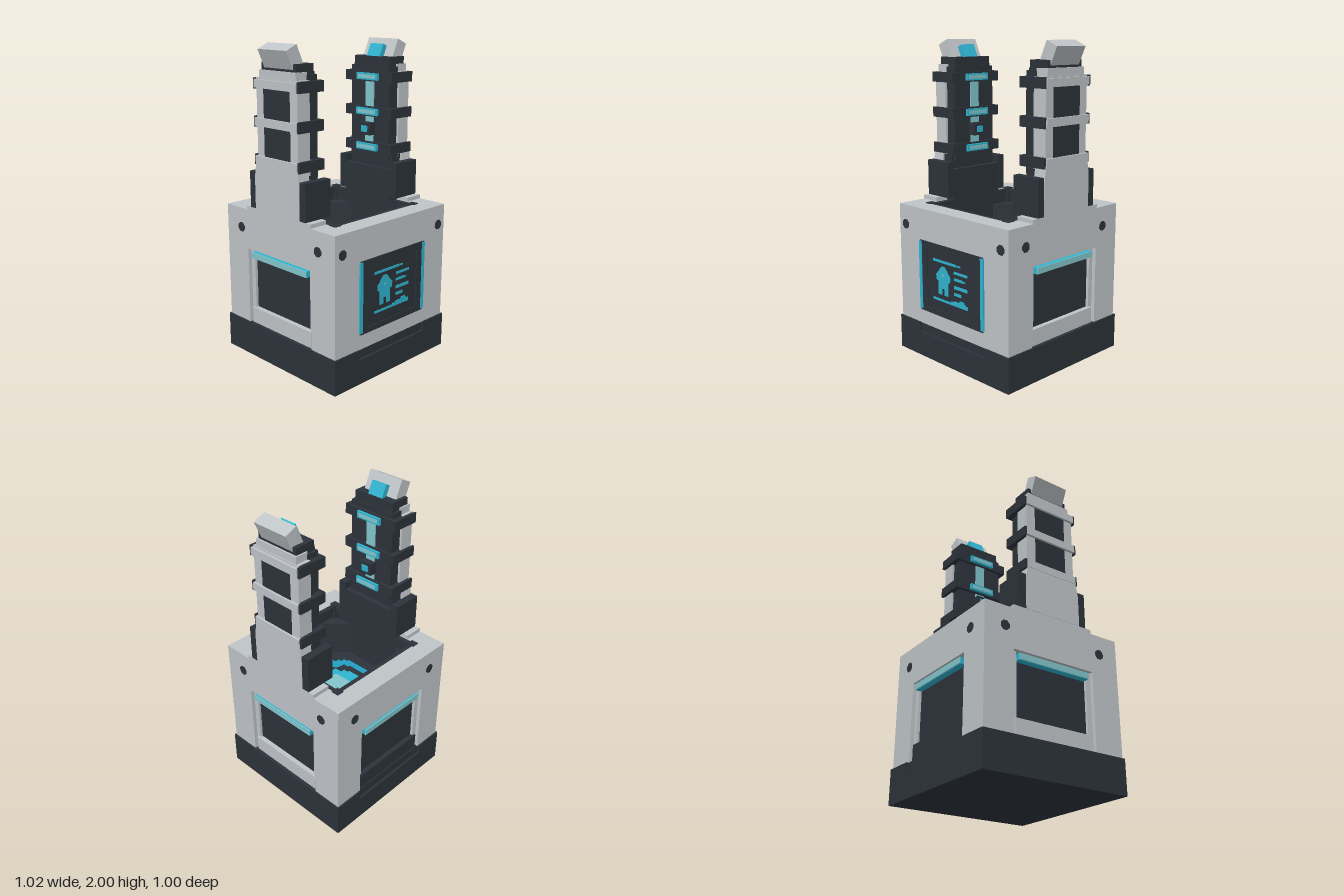
import * as THREE from 'three';

const mat = (name, color) => Object.assign(new THREE.MeshStandardMaterial({ color }), { name });
const light = mat('light grey shell', 0xbfc4c8);
const dark = mat('charcoal metal', 0x2c333a);
const cyan = mat('cyan glow', 0x2fb4d0);
const blue = mat('deep blue glow', 0x219fc4);
const pale = mat('pale glow', 0x82c6cc);

function add(parent, name, geometry, material) {
  const mesh = new THREE.Mesh(geometry, material);
  mesh.name = name;
  parent.add(mesh);
  return mesh;
}
// Box given by its min and max on each axis
function box(parent, name, material, x0, x1, y0, y1, z0, z1) {
  const mesh = add(parent, name, new THREE.BoxGeometry(x1 - x0, y1 - y0, z1 - z0), material);
  mesh.position.set((x0 + x1) / 2, (y0 + y1) / 2, (z0 + z1) / 2);
  return mesh;
}
const shapeOf = (pts) => new THREE.Shape(pts.map(([x, y]) => new THREE.Vector2(x, y)));
const square = (h) => [[-h, -h], [h, -h], [h, h], [-h, h]];
// Repeat a first-quadrant run of points (from the +y axis to the +x axis) all round
function fourFold(run) {
  const pts = [];
  for (let i = 0; i < 4; i++) {
    const c = [1, 0, -1, 0][i], s = [0, -1, 0, 1][i];
    run.forEach(([x, y]) => pts.push([x * c - y * s, x * s + y * c]));
  }
  return pts;
}
// Horizontal slab from y0 to y1 with an optional hole
function slab(parent, name, material, outer, hole, y0, y1) {
  const shape = shapeOf(outer);
  if (hole) shape.holes.push(shapeOf(hole));
  const g = new THREE.ExtrudeGeometry(shape, { depth: y1 - y0, bevelEnabled: false });
  g.rotateX(-Math.PI / 2);
  return add(parent, name, g.translate(0, y0, 0), material);
}
function wall(parent, name, material, pts, hole, z0, z1) {
  const shape = shapeOf(pts);
  if (hole) shape.holes.push(shapeOf(hole));
  const g = new THREE.ExtrudeGeometry(shape, { depth: z1 - z0, bevelEnabled: false });
  return add(parent, name, g.translate(0, 0, z0), material);
}
const rect = (x0, x1, y0, y1) => [[x0, y0], [x1, y0], [x1, y1], [x0, y1]];

function addBolts(parent, x) {
  for (const s of [-1, 1]) {
    const g = new THREE.CylinderGeometry(0.032, 0.032, 0.008, 8);
    g.rotateY(Math.PI / 8).rotateX(Math.PI / 2);
    add(parent, 'bolt', g, dark).position.set(s * x, 0.85, 0.489);
  }
}

// One recessed side of the body, built facing +z
function recessedSide(name, half, sillMaterial) {
  const g = new THREE.Group();
  g.name = name;
  wall(g, 'wall', light, [[-half, 0.22], [-0.29, 0.22], [-0.29, 0.72], [0.29, 0.72],
    [0.29, 0.22], [half, 0.22], [half, 0.975], [-half, 0.975]], null, 0.43, 0.49);
  box(g, 'recessPanel', dark, -0.256, 0.256, 0.22, 0.7, 0.43, 0.447);
  for (const s of [-1, 1]) box(g, 'jamb', light, s * 0.273 - 0.017, s * 0.273 + 0.017, 0.22, 0.72, 0.43, 0.465);
  box(g, 'sill', sillMaterial, -0.275, 0.275, 0.2, 0.325, 0.44, 0.478);
  box(g, 'lightStrip', cyan, -0.252, 0.252, 0.665, 0.705, 0.44, 0.488);
  box(g, 'lightStripFace', pale, -0.252, 0.252, 0.667, 0.705, 0.488, 0.494);
  addBolts(g, 0.35);
  return g;
}

function screenSide() {
  const g = new THREE.Group();
  g.name = 'screenSide';
  box(g, 'wall', light, -0.49, 0.49, 0.22, 0.975, 0.43, 0.49);
  addBolts(g, 0.43);
  wall(g, 'screenFrame', dark, rect(-0.285, 0.285, 0.315, 0.775), rect(-0.22, 0.22, 0.35, 0.73), 0.488, 0.497);
  box(g, 'screen', dark, -0.225, 0.225, 0.345, 0.735, 0.485, 0.491);
  for (const s of [-1, 1]) box(g, 'screenSideLight', cyan, s * 0.28 - 0.013, s * 0.28 + 0.013, 0.325, 0.77, 0.49, 0.4995);
  // Readout bars and figure icon
  const bars = [[-0.165, 0.055, 0.664, 0.68], [0.06, 0.09, 0.667, 0.677], [0.03, 0.15, 0.618, 0.634],
    [0.03, 0.11, 0.577, 0.593], [0.11, 0.13, 0.58, 0.588], [0.03, 0.15, 0.525, 0.545], [0.03, 0.095, 0.482, 0.5],
    [-0.165, 0.15, 0.415, 0.43], [0.0, 0.15, 0.43, 0.438], [0.03, 0.13, 0.438, 0.446], [0.08, 0.12, 0.446, 0.458]];
  for (const b of bars) box(g, 'readoutBar', cyan, ...b, 0.49, 0.494);
  const half = [[0.012, 0.46], [0.045, 0.46], [0.045, 0.545], [0.062, 0.55], [0.066, 0.585], [0.045, 0.605], [0.03, 0.625], [0.012, 0.642]];
  const figure = [[0, 0.5], [0.012, 0.5], ...half];
  const outline = [...figure, ...figure.slice(1).reverse().map(([x, y]) => [-x, y])];
  wall(g, 'figureIcon', cyan, outline.map(([x, y]) => [x - 0.07, y]), null, 0.49, 0.494);
  box(g, 'figureCore', pale, -0.077, -0.063, 0.578, 0.592, 0.493, 0.495);
  return g;
}

// One tower, built on the +x side
function tower(name) {
  const g = new THREE.Group();
  g.name = name;
  box(g, 'sideRail', light, 0.365, 0.49, 0.97, 1.0, -0.29, 0.29);
  // Foot
  box(g, 'footInner', dark, 0.295, 0.42, 0.975, 1.18, -0.2, 0.2);
  for (const s of [-1, 1]) box(g, 'footCheek', dark, 0.292, 0.49, 1.0, 1.23, s * 0.225 - 0.025, s * 0.225 + 0.025);
  const foot = shapeOf([[-0.2, 1.0], [0.2, 1.0], [0.2, 1.2], [0.185, 1.29], [-0.185, 1.29], [-0.2, 1.2]]);
  const footGeo = new THREE.ExtrudeGeometry(foot, { depth: 0.085, bevelEnabled: false });
  add(g, 'footShell', footGeo.rotateY(Math.PI / 2).translate(0.407, 0, 0), light);
  // Column
  box(g, 'columnShell', light, 0.385, 0.478, 1.25, 1.8, -0.18, 0.18);
  box(g, 'columnShoulder', light, 0.385, 0.472, 1.8, 1.845, -0.16, 0.16);
  box(g, 'columnInner', dark, 0.312, 0.39, 1.23, 1.83, -0.165, 0.165);
  box(g, 'columnPlinth', dark, 0.33, 0.42, 1.17, 1.27, -0.18, 0.18);
  for (const y of [1.425, 1.65]) box(g, 'outerInset', dark, 0.47, 0.481, y - 0.09, y + 0.09, -0.115, 0.115);
  box(g, 'innerLight', pale, 0.305, 0.314, 1.34, 1.75, -0.035, 0.035);
  // Clamping bands with lamps on the inside
  for (const y of [1.31, 1.54, 1.765]) {
    box(g, 'band', dark, 0.292, 0.47, y - 0.032, y + 0.032, -0.2, 0.2);
    box(g, 'bandPlate', light, 0.468, 0.495, y - 0.025, y + 0.025, -0.185, 0.185);
    for (const s of [-1, 1]) box(g, 'bandEnd', dark, 0.46, 0.488, y - 0.032, y + 0.032, s * 0.193 - 0.007, s * 0.193 + 0.007);
    box(g, 'bandLamp', cyan, 0.275, 0.294, y - 0.022, y + 0.022, -0.09, 0.09);
    box(g, 'bandLampFace', pale, 0.272, 0.276, y - 0.012, y + 0.012, -0.075, 0.075);
  }
  // Sensor
  box(g, 'sensor', dark, 0.26, 0.315, 1.39, 1.47, -0.047, 0.047);
  box(g, 'sensorLens', cyan, 0.254, 0.261, 1.41, 1.45, -0.025, 0.025);
  // Tilted head
  box(g, 'neck', dark, 0.325, 0.46, 1.843, 1.89, -0.15, 0.15);
  box(g, 'neckBase', dark, 0.32, 0.4, 1.8, 1.845, -0.15, 0.15);
  const head = add(g, 'head', new THREE.BoxGeometry(0.085, 0.122, 0.25), light);
  head.position.set(0.444, 1.927, 0);
  const lamp = add(g, 'headLamp', new THREE.BoxGeometry(0.036, 0.085, 0.11), cyan);
  lamp.position.set(0.368, 1.922, 0);
  head.rotation.z = lamp.rotation.z = -0.42;
  return g;
}

export function createModel() {
  const model = new THREE.Group();
  model.name = 'machine';

  // Base with shallow notches in its front and back upper edges
  box(model, 'baseLower', dark, -0.5, 0.5, 0, 0.16, -0.5, 0.5);
  slab(model, 'baseUpper', dark, [[-0.5, -0.5], [-0.3, -0.5], [-0.3, -0.485], [0.3, -0.485], [0.3, -0.5], [0.5, -0.5],
    [0.5, 0.5], [0.3, 0.5], [0.3, 0.485], [-0.3, 0.485], [-0.3, 0.5], [-0.5, 0.5]], null, 0.16, 0.222);

  // Body
  model.add(screenSide());
  const sides = [['backSide', Math.PI, 0.49, dark], ['leftSide', Math.PI / 2, 0.43, light], ['rightSide', -Math.PI / 2, 0.43, light]];
  for (const [name, turn, half, sill] of sides) {
    const side = recessedSide(name, half, sill);
    side.rotation.y = turn;
    model.add(side);
  }
  box(model, 'core', dark, -0.435, 0.435, 0.2, 0.64, -0.435, 0.435);
  slab(model, 'topRim', light, square(0.43), square(0.362), 0.945, 0.975);

  // Pit with chamfered corners and a frame round its mouth
  const octagon = fourFold([[0.2, 0.345], [0.345, 0.2]]);
  slab(model, 'pitWall', dark, square(0.434), octagon, 0.63, 0.88);
  slab(model, 'pitMouth', dark, square(0.43), square(0.345), 0.88, 0.945);
  slab(model, 'pitFrame', dark, square(0.364), square(0.33), 0.94, 0.972);
  for (const x of [-1, 1]) for (const z of [-1, 1]) {
    box(model, 'framePost', dark, x * 0.347 - 0.025, x * 0.347 + 0.025, 0.88, 0.98, z * 0.347 - 0.025, z * 0.347 + 0.025);
  }

  // Stepped glowing emblem on the pit floor
  const ringOuter = fourFold([[0.135, 0.265], [0.135, 0.25], [0.165, 0.25], [0.165, 0.22], [0.19, 0.22], [0.19, 0.19],
    [0.22, 0.19], [0.22, 0.165], [0.25, 0.165], [0.25, 0.135], [0.265, 0.135]]);
  const ringInner = fourFold([[0.085, 0.22], [0.085, 0.205], [0.125, 0.205], [0.125, 0.17], [0.138, 0.138],
    [0.17, 0.125], [0.205, 0.125], [0.205, 0.085], [0.22, 0.085]]);
  slab(model, 'floorRing', blue, ringOuter, ringInner, 0.638, 0.646);
  const cross = fourFold([[0.045, 0.175], [0.045, 0.16], [0.08, 0.16], [0.08, 0.132], [0.13, 0.132],
    [0.132, 0.08], [0.16, 0.08], [0.16, 0.045], [0.175, 0.045]]);
  slab(model, 'floorCross', cyan, cross, null, 0.638, 0.647);
  slab(model, 'floorCore', pale, fourFold([[0.08, 0.088], [0.088, 0.08]]), null, 0.642, 0.65);

  // Towers
  model.add(tower('leftTower'));
  const right = tower('rightTower');
  right.rotation.y = Math.PI;
  model.add(right);
  return model;
}
